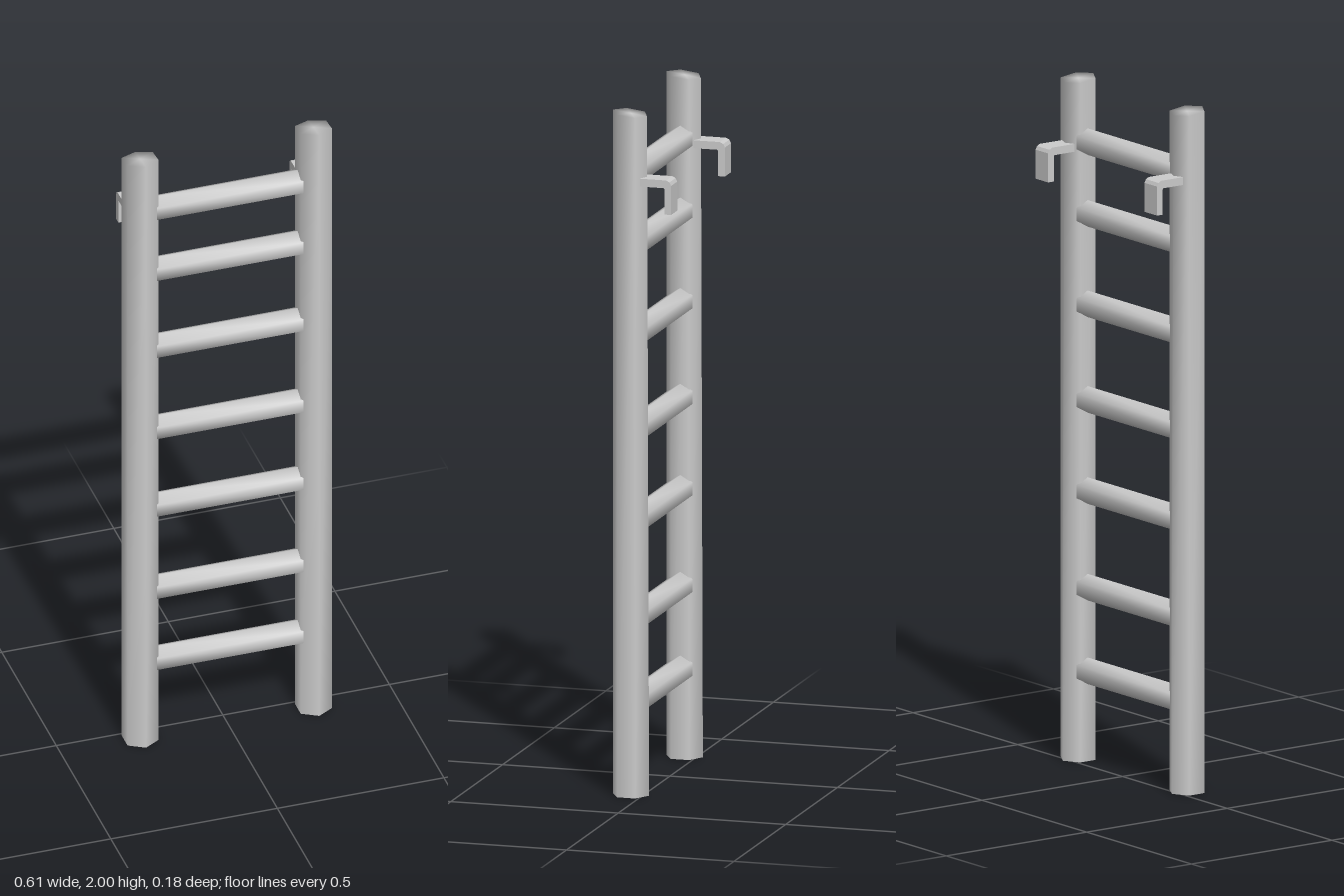
import * as THREE from 'three';
import { mergeVertices } from 'three/addons/utils/BufferGeometryUtils.js';

const material = new THREE.MeshStandardMaterial({ color: 0xcccccc });

// Six-sided bar whose sides and ends share smooth normals
function hexBar(radius, length, thetaStart = 0) {
  const bar = new THREE.CylinderGeometry(radius, radius, length, 6, 1, false, thetaStart);
  bar.deleteAttribute('normal');
  bar.deleteAttribute('uv');
  const welded = mergeVertices(bar, 1e-4);
  welded.computeVertexNormals();
  return welded;
}

export function createModel() {
  const group = new THREE.Group();
  const add = (name, geometry, x, y, z) => {
    const mesh = new THREE.Mesh(geometry, material);
    mesh.name = name;
    mesh.position.set(x, y, z);
    group.add(mesh);
  };

  // Side rail, its top sloping slightly down towards the back
  const rail = hexBar(0.054, 2);
  const p = rail.attributes.position;
  for (let i = 0; i < p.count; i++) {
    if (p.getY(i) > 0) {
      p.setY(i, 1 - (0.054 - p.getZ(i)) * 0.13);
      if (p.getZ(i) < -0.05) p.setZ(i, -0.048);
    }
  }
  rail.computeVertexNormals();

  // Bent flat hook, drawn from the side and extruded across its width
  const profile = new THREE.Shape([
    [0, 1.787], [0.07, 1.787], [0.073, 1.784], [0.073, 1.71], [0.093, 1.71],
    [0.093, 1.795], [0.088, 1.805], [0.078, 1.81], [0, 1.81],
  ].map(([x, y]) => new THREE.Vector2(x, y)));
  const hook = new THREE.ExtrudeGeometry(profile, { depth: 0.06, bevelEnabled: false });
  hook.translate(0, 0, -0.03).rotateY(Math.PI / 2);

  for (const [side, x] of [['left', 0.26], ['right', -0.26]]) {
    add(side + 'Rail', rail, x, 1, 0.036);
    add(side + 'Hook', hook, x, 0, 0);
  }

  // Rungs between the rails
  const rung = hexBar(0.039, 0.44, Math.PI / 2).rotateZ(Math.PI / 2);
  [0.265, 0.51, 0.793, 1.06, 1.34, 1.605, 1.815].forEach((y, i) => {
    add('rung' + (i + 1), rung, 0, y, 0.035);
  });

  return group;
}
